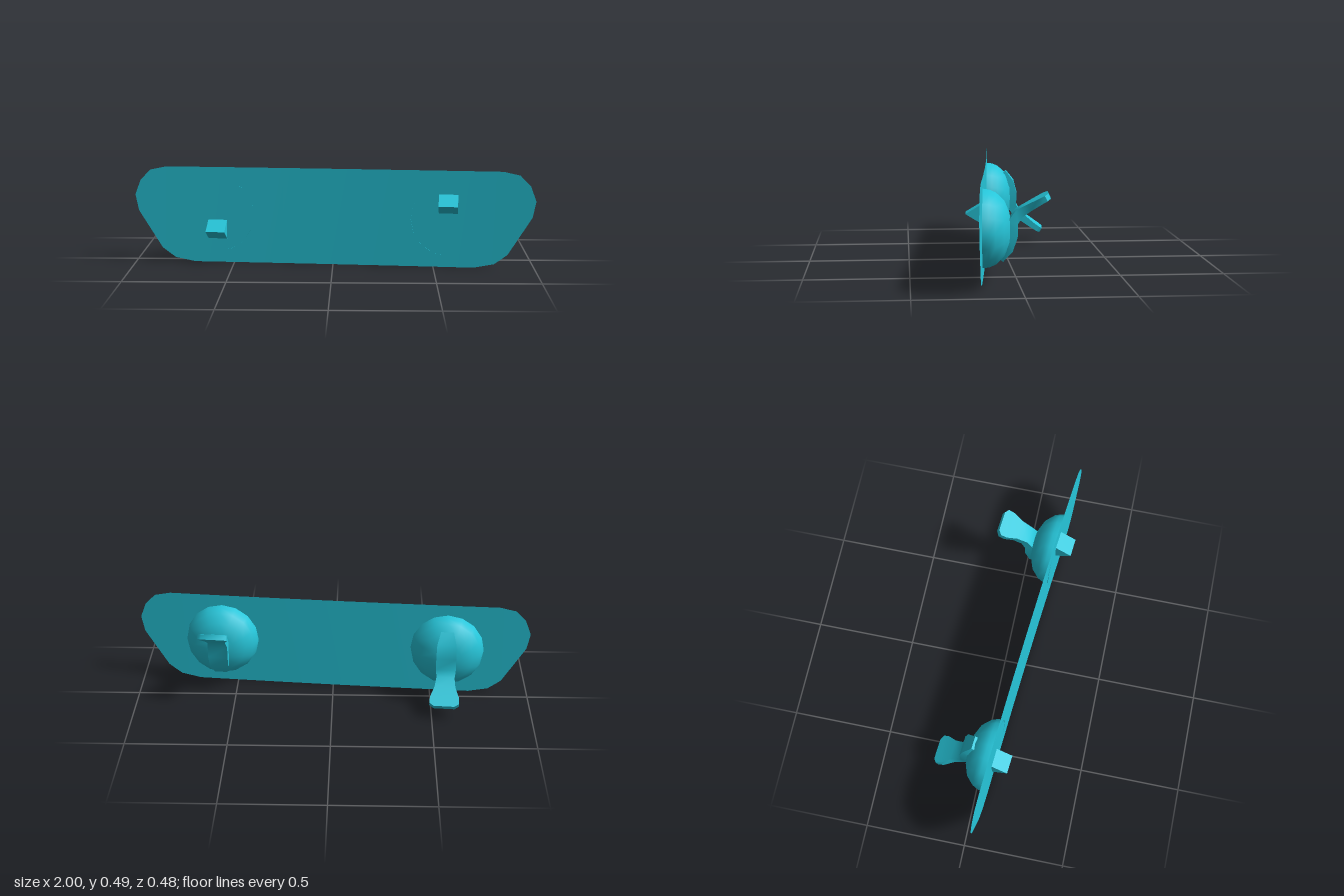
import * as THREE from 'three';
import { toCreasedNormals } from 'three/addons/utils/BufferGeometryUtils.js';

const cyan = new THREE.MeshStandardMaterial({ color: 0x26c6da, side: THREE.DoubleSide });
cyan.name = 'cyan';

const plateZ = (x) => 0.11 + 0.081 * x + 0.011 * x * x;

function part(name, geometry) {
  const mesh = new THREE.Mesh(geometry, cyan);
  mesh.name = name;
  return mesh;
}

// Thin, slightly bowed plate made of columns: x, lower y, upper y
function plateGeometry() {
  const half = [
    [1, 0.338, 0.342], [0.984, 0.26, 0.385], [0.972, 0.24, 0.417], [0.92, 0.156, 0.469],
    [0.867, 0.07, 0.48], [0.84, 0.049, 0.486], [0.8, 0.02, 0.486], [0.7, 0, 0.486],
    [0.5, 0, 0.486], [0.25, 0, 0.486],
  ];
  const columns = [
    ...half.map(([x, a, b]) => [-x, a, b]),
    [0, 0, 0.486],
    ...half.slice().reverse(),
  ];
  const positions = [], index = [];
  columns.forEach(([x, low, high], i) => {
    positions.push(x, low, plateZ(x), x, high, plateZ(x));
    if (i) {
      const a = 2 * i - 2;
      index.push(a, a + 2, a + 3, a, a + 3, a + 1);
    }
  });
  const g = new THREE.BufferGeometry();
  g.setAttribute('position', new THREE.Float32BufferAttribute(positions, 3));
  g.setIndex(index);
  g.computeVertexNormals();
  return g;
}

// Faceted dome, opening on the plate, bulging along +z
function domeGeometry() {
  const profile = [[0.187, 0], [0.183, 0.03], [0.17, 0.06], [0.132, 0.1], [0.075, 0.124], [0, 0.132]];
  const g = new THREE.LatheGeometry(profile.map(([r, h]) => new THREE.Vector2(r, h)), 16);
  return g.rotateX(Math.PI / 2);
}

// Curved slider and paddle: a box swept along y, z with half thickness and half width
function leverGeometry() {
  const path = [
    [-0.14, 0.08, 0.018, 0.032], [-0.09, 0.12, 0.022, 0.048], [-0.03, 0.14, 0.022, 0.05],
    [0.035, 0.14, 0.024, 0.05], [0.075, 0.168, 0.022, 0.045], [0.105, 0.215, 0.018, 0.052],
    [0.133, 0.262, 0.015, 0.072], [0.15, 0.292, 0.014, 0.074], [0.158, 0.307, 0.013, 0.052],
  ];
  const n = path.length - 1;
  const g = new THREE.BoxGeometry(1, 1, 1, 1, 1, n);
  const p = g.attributes.position;
  for (let i = 0; i < p.count; i++) {
    const k = Math.round((p.getZ(i) + 0.5) * n);
    const [y, z, thick, wide] = path[k];
    const before = path[Math.max(k - 1, 0)], after = path[Math.min(k + 1, n)];
    const ty = after[0] - before[0], tz = after[1] - before[1];
    const offset = (2 * p.getY(i) * thick) / Math.hypot(ty, tz);
    p.setXYZ(i, 2 * p.getX(i) * wide, y + tz * offset, z - ty * offset);
  }
  return toCreasedNormals(g, 0.7);
}

// Pointed wedge showing on the other side of the plate
function nubGeometry() {
  const shape = new THREE.Shape([
    new THREE.Vector2(0.02, 0.015), new THREE.Vector2(0.02, 0.135), new THREE.Vector2(-0.08, 0.075),
  ]);
  const g = new THREE.ExtrudeGeometry(shape, { depth: 0.095, bevelEnabled: false });
  return g.translate(0, 0, -0.0475).rotateY(-Math.PI / 2);
}

export function createModel() {
  const model = new THREE.Group();
  model.name = 'switchPlate';
  model.add(part('plate', plateGeometry()));

  // Left switch points up, right switch points down
  for (const [name, x, roll, tilt] of [['left', 0.573, 0, 0], ['right', -0.583, Math.PI, -0.07]]) {
    const unit = new THREE.Group();
    unit.name = name + 'Switch';
    unit.position.set(x, 0.244, plateZ(x));
    unit.rotation.y = Math.PI - 0.08;
    const toggle = new THREE.Group();
    toggle.name = name + 'Toggle';
    toggle.rotation.z = roll;
    const lever = part(name + 'Lever', leverGeometry());
    lever.rotation.x = tilt;
    toggle.add(lever, part(name + 'Nub', nubGeometry()));
    unit.add(part(name + 'Dome', domeGeometry()), toggle);
    model.add(unit);
  }
  return model;
}
